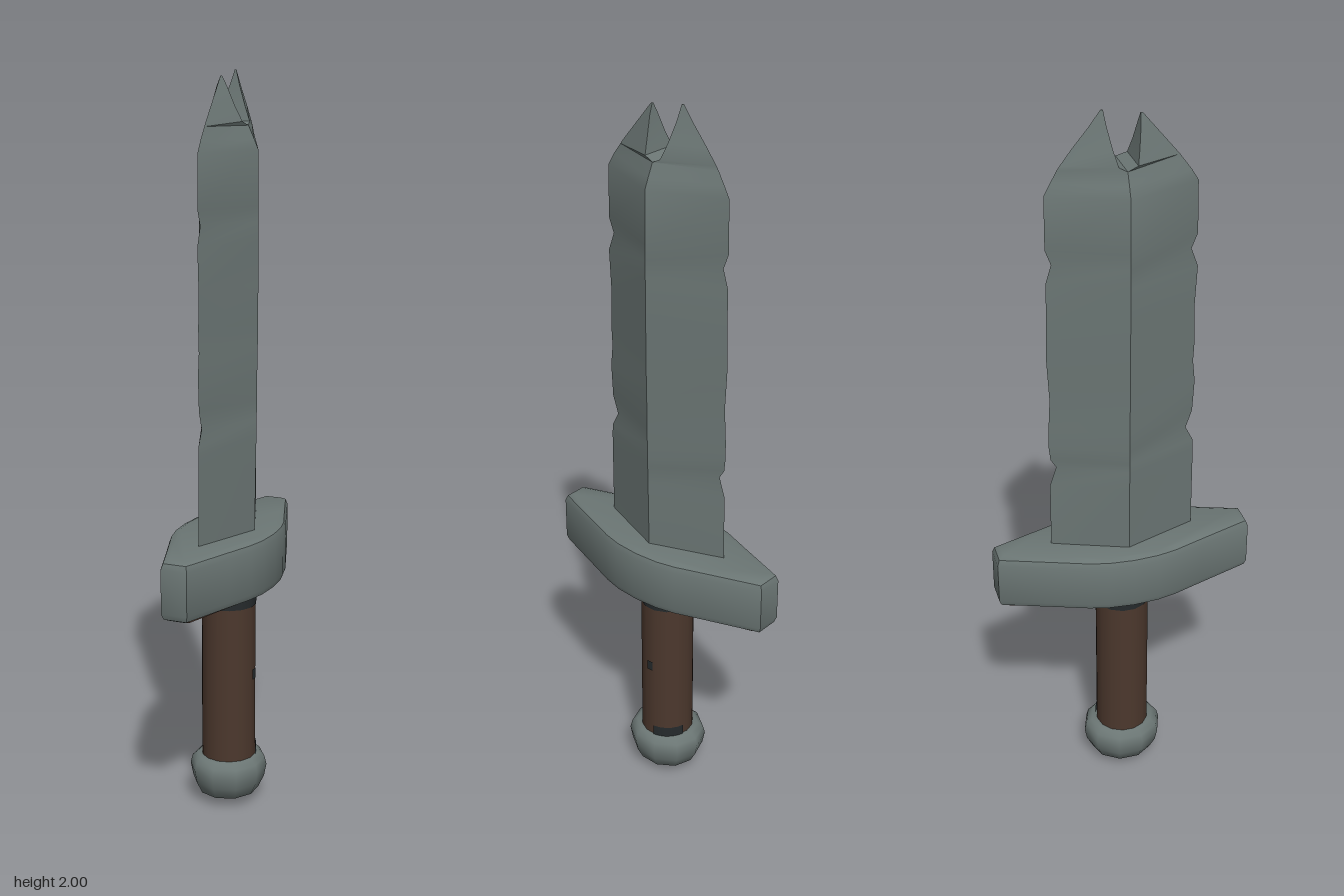
import * as THREE from 'three';
import { toCreasedNormals } from 'three/addons/utils/BufferGeometryUtils.js';

const mat = (name, color, side = THREE.FrontSide) => {
  const m = new THREE.MeshStandardMaterial({ color, side });
  m.name = name;
  return m;
};

export function createModel() {
  const model = new THREE.Group();
  model.name = 'sword';
  const steel = mat('steel', 0x6b7674);
  const leather = mat('leather', 0x4c382d);
  const dark = mat('darkMetal', 0x252a2c, THREE.DoubleSide);

  const add = (name, geometry, material, y = 0) => {
    const mesh = new THREE.Mesh(geometry, material);
    mesh.name = name;
    mesh.position.y = y;
    model.add(mesh);
    return mesh;
  };

  // Blade: diamond sections as [height, half thickness, front edge, back edge]
  const rows = [
    [0.75, 0.076, 0.2, 0.2], [0.98, 0.079, 0.2, 0.198], [1.035, 0.08, 0.2, 0.18],
    [1.06, 0.08, 0.198, 0.195], [1.1, 0.081, 0.178, 0.199], [1.15, 0.081, 0.195, 0.198],
    [1.24, 0.082, 0.2, 0.193], [1.3, 0.083, 0.194, 0.196], [1.36, 0.083, 0.197, 0.199],
    [1.46, 0.084, 0.194, 0.196], [1.57, 0.084, 0.2, 0.195], [1.62, 0.084, 0.182, 0.18],
    [1.66, 0.084, 0.198, 0.195], [1.8, 0.083, 0.196, 0.194], [1.83, 0.07, 0.178, 0.178],
    [1.862, 0.055, 0.154, 0.16],
  ].map(r => [...r, 0, 0]);
  // Two prongs either side of the notch, with inner edges added
  rows.push(
    [1.872, 0.05, 0.147, 0.153, 0.028, 0.02],
    [1.91, 0.033, 0.115, 0.124, 0.036, 0.03],
    [1.96, 0.014, 0.073, 0.082, 0.044, 0.04],
    [2.0, 0.002, 0.052, 0.052, 0.047, 0.046],
  );
  const pos = [];
  for (const side of [0, 1]) {
    const s = side ? -1 : 1;
    const rings = rows.map((r, k) => {
      const y = k === rows.length - 1 && !side ? 1.985 : r[0];
      const inner = s * r[4 + side];
      return [[0, y, s * r[2 + side]], [s * r[1], y, inner], [-s * r[1], y, inner]];
    });
    for (let k = 0; k < rings.length - 1; k++) {
      const lo = rings[k], hi = rings[k + 1];
      for (let p = 0; p < 3; p++) {
        if (p === 1 && rows[k + 1][4] === 0) continue; // no wall inside the solid blade
        const q = (p + 1) % 3;
        pos.push(...lo[p], ...lo[q], ...hi[q], ...lo[p], ...hi[q], ...hi[p]);
      }
    }
    const [a, b, c] = rings[rings.length - 1];
    pos.push(...a, ...b, ...c);
  }
  const blade = new THREE.BufferGeometry();
  blade.setAttribute('position', new THREE.Float32BufferAttribute(pos, 3));
  add('blade', toCreasedNormals(blade, 0.6), steel);

  // Crossguard: lens-shaped plan with blunt ends and rounded edges
  const quarter = [[0.036, 0.357], [0.09, 0.205], [0.119, 0.125], [0.132, 0.07], [0.137, 0]];
  const half = [...quarter, ...quarter.slice(0, -1).reverse().map(([x, z]) => [x, -z])];
  const outline = [...half, ...half.slice().reverse().map(([x, z]) => [-x, z])];
  const plan = (sx, sz) => new THREE.Shape(outline.map(([x, z]) => new THREE.Vector2(x * sx, z * sz)));
  const guard = new THREE.ExtrudeGeometry(plan(1, 1), {
    depth: 0.118, bevelThickness: 0.022, bevelSize: 0.02, bevelOffset: -0.02, bevelSegments: 2,
  }).rotateX(-Math.PI / 2);
  add('guard', toCreasedNormals(guard, 0.6), steel, 0.653);

  // Underside lining of the guard and the dark seat around the grip
  const plate = (sx, sz) => new THREE.ExtrudeGeometry(plan(sx, sz), { depth: 0.004, bevelEnabled: false })
    .rotateX(-Math.PI / 2);
  add('guardLining', plate(0.82, 0.92), leather, 0.629);
  add('gripSeat', plate(0.78, 0.42), dark, 0.626);

  // Grip with a dark collar
  const tube = (r, h, n = 14) => new THREE.CylinderGeometry(r, r, h, n, 1, true);
  add('grip', tube(0.075, 0.54), leather, 0.38);
  add('collar', tube(0.077, 0.055), dark, 0.605);

  // Worn dark patches on the grip
  const patch = (name, y, h, start, length) =>
    add(name, new THREE.CylinderGeometry(0.077, 0.077, h, 5, 1, true, start, length), dark, y);
  patch('gripSpot', 0.38, 0.03, Math.PI / 2 - 0.13, 0.26);
  patch('gripFootWear', 0.15, 0.035, Math.PI / 2 + 0.15, 1.2);

  // Pommel: rounded knob with a slightly pointed foot
  const profile = [[0, 0], [0.045, 0.012], [0.09, 0.032], [0.107, 0.065], [0.114, 0.1],
    [0.108, 0.123], [0.092, 0.136], [0, 0.138]].map(([x, y]) => new THREE.Vector2(x, y));
  const pommel = new THREE.LatheGeometry(profile, 10).scale(0.93, 1, 1);
  add('pommel', toCreasedNormals(pommel, 0.85), steel);

  return model;
}
